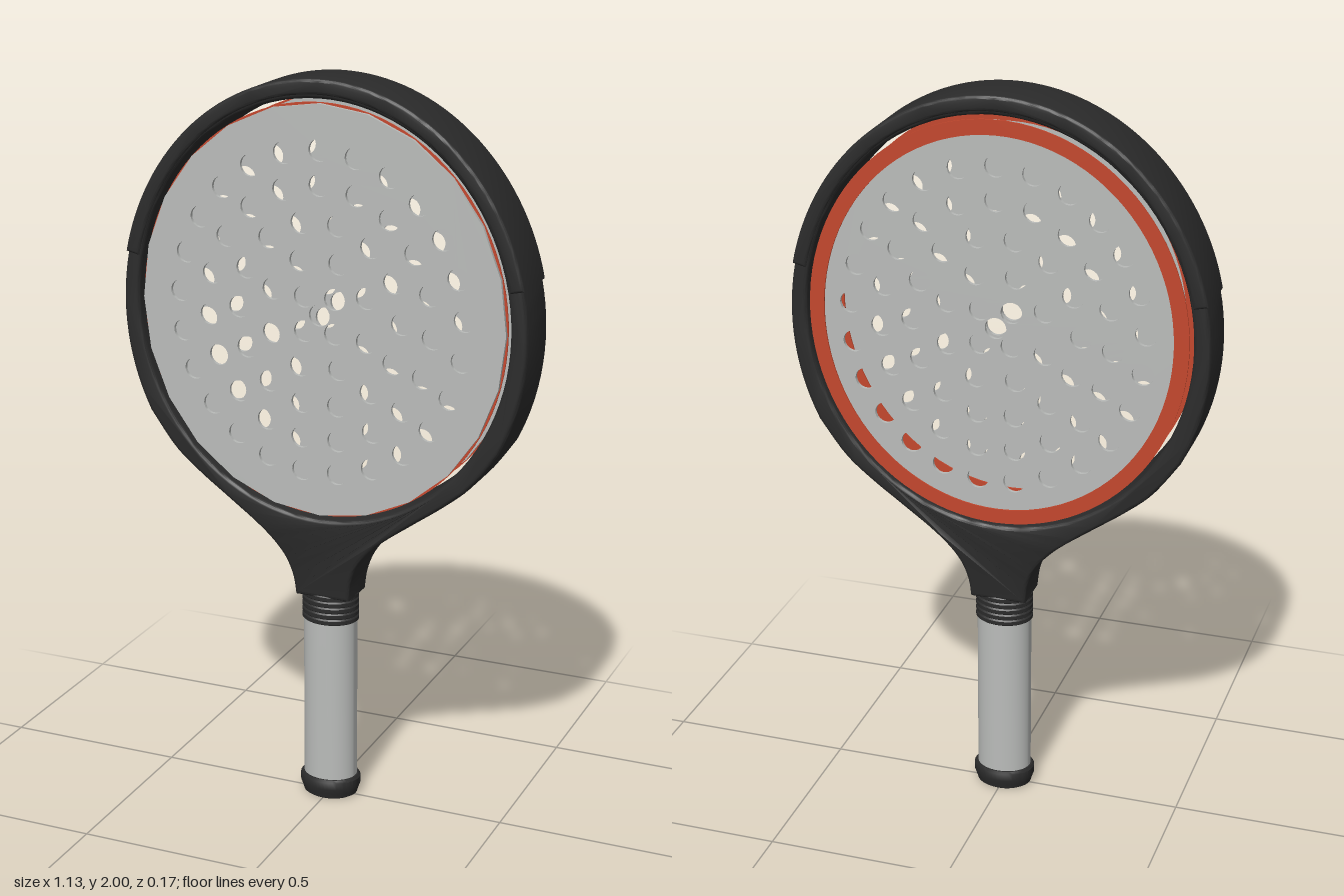
import * as THREE from 'three';
import { toCreasedNormals } from 'three/addons/utils/BufferGeometryUtils.js';

const mat = (name, color) => {
  const m = new THREE.MeshStandardMaterial({ color });
  m.name = name;
  return m;
};

const FACE_Y = 1.39; // centre of the hitting face
const HEAD_Y = 1.37; // centre of the outer head curve

const ellipse = (Kind, rx, ry, x = 0, y = FACE_Y) =>
  new Kind().absellipse(x, y, rx, ry, 0, Math.PI * 2, false);

// Extrude centred on z with edges bevelled inward
function slab(shape, depth, bevel, curveSegments) {
  const geo = new THREE.ExtrudeGeometry(shape, {
    depth: depth - 2 * bevel, curveSegments,
    bevelEnabled: bevel > 0, bevelThickness: bevel, bevelSize: bevel,
    bevelOffset: -bevel, bevelSegments: 3,
  });
  return geo.translate(0, 0, bevel - depth / 2);
}

const smooth = (geo) => toCreasedNormals(geo, 0.6);

// Head outline flowing into the throat
function frameShape() {
  const half = [];
  for (let i = 0; i <= 40; i++) {
    const t = Math.PI / 2 - (i / 40) * (Math.PI / 2 + 0.5);
    half.push(new THREE.Vector2(0.565 * Math.cos(t), HEAD_Y + 0.615 * Math.sin(t)));
  }
  const throat = new THREE.SplineCurve([
    half[40], [0.425, 0.98], [0.35, 0.915], [0.26, 0.85], [0.17, 0.783],
    [0.112, 0.72], [0.085, 0.66], [0.077, 0.6],
  ].map((p) => (p.isVector2 ? p : new THREE.Vector2(...p))));
  half.push(...throat.getPoints(32).slice(1));
  const left = half.slice(1).reverse().map((p) => new THREE.Vector2(-p.x, p.y));
  const shape = new THREE.Shape([...half, ...left]);
  shape.holes.push(ellipse(THREE.Path, 0.52, 0.56));
  return shape;
}

// Guard over the upper rim
function bumperShape() {
  const arc = (rx, ry) => Array.from({ length: 65 }, (_, i) => {
    const t = 0.224 + (i / 64) * (Math.PI - 0.448);
    return new THREE.Vector2(rx * Math.cos(t), HEAD_Y + ry * Math.sin(t));
  });
  return new THREE.Shape([...arc(0.569, 0.63), ...arc(0.53, 0.59).reverse()]);
}

// Elliptical face drilled with concentric rings of holes
function faceShape() {
  const shape = ellipse(THREE.Shape, 0.508, 0.548);
  const rings = [ // count, rx, ry, offset in steps
    [1, 0, 0, 0], [4, 0.06, 0.065, 0.5], [8, 0.142, 0.152, 0.5],
    [14, 0.228, 0.246, 0.5], [19, 0.313, 0.34, 0], [25, 0.398, 0.43, 0],
  ];
  for (const [n, rx, ry, offset] of rings) {
    for (let i = 0; i < n; i++) {
      const a = ((i + offset) / n) * Math.PI * 2;
      const x = rx * Math.sin(a), y = FACE_Y + ry * Math.cos(a);
      shape.holes.push(ellipse(THREE.Path, 0.029, 0.029, x, y));
    }
  }
  return shape;
}

// Turned part flattened to an oval section
function oval(points, depthRatio) {
  const geo = new THREE.LatheGeometry(points.map((p) => new THREE.Vector2(...p)), 48);
  return smooth(geo.scale(1, 1, depthRatio));
}

export function createModel() {
  const black = mat('black plastic', 0x2b2b2b);
  const grey = mat('light grey', 0xbabcba);
  const red = mat('red trim', 0xc4472d);

  const model = new THREE.Group();
  model.name = 'paddle';
  const add = (name, geo, material, z = 0) => {
    const mesh = new THREE.Mesh(geo, material);
    mesh.name = name;
    mesh.position.z = z;
    model.add(mesh);
  };

  // Frame, thinned toward the handle
  const frame = slab(frameShape(), 0.16, 0.01, 48);
  const pos = frame.attributes.position;
  for (let i = 0; i < pos.count; i++) {
    const k = THREE.MathUtils.clamp((0.79 - pos.getY(i)) / 0.19, 0, 1);
    pos.setZ(i, pos.getZ(i) * (1 - 0.22 * k));
  }
  add('frame', smooth(frame), black);
  add('bumper', smooth(slab(bumperShape(), 0.17, 0.008, 12)), black);

  // Two thin faces with a hollow core between them
  const face = smooth(slab(faceShape(), 0.01, 0, 12));
  add('frontFace', face, grey, 0.07);
  add('backFace', face, grey, -0.07);

  // Trim rings: one over the back face, one behind the front face
  const ring = ellipse(THREE.Shape, 0.51, 0.55);
  ring.holes.push(ellipse(THREE.Path, 0.47, 0.51));
  const ringGeo = smooth(slab(ring, 0.004, 0, 48));
  add('backTrimRing', ringGeo, red, -0.077);
  add('frontTrimRing', ringGeo, red, 0.063);

  // Ribbed collar
  const ribs = [[0, 0.522]];
  for (let i = 0; i < 5; i++) {
    const y = 0.522 + i * 0.017;
    ribs.push([0.075, y], [0.079, y + 0.003], [0.079, y + 0.013], [0.075, y + 0.017]);
  }
  ribs.push([0.06, 0.622], [0, 0.622]);
  add('collar', oval(ribs, 0.82), black);

  // Handle and end cap
  add('grip', oval([[0.075, 0.05], [0.075, 0.53]], 0.82), grey);
  add('endCap', oval([
    [0, 0], [0.068, 0], [0.076, 0.005], [0.08, 0.018], [0.085, 0.032],
    [0.085, 0.053], [0.08, 0.06], [0, 0.06],
  ], 0.82), black);

  return model;
}
